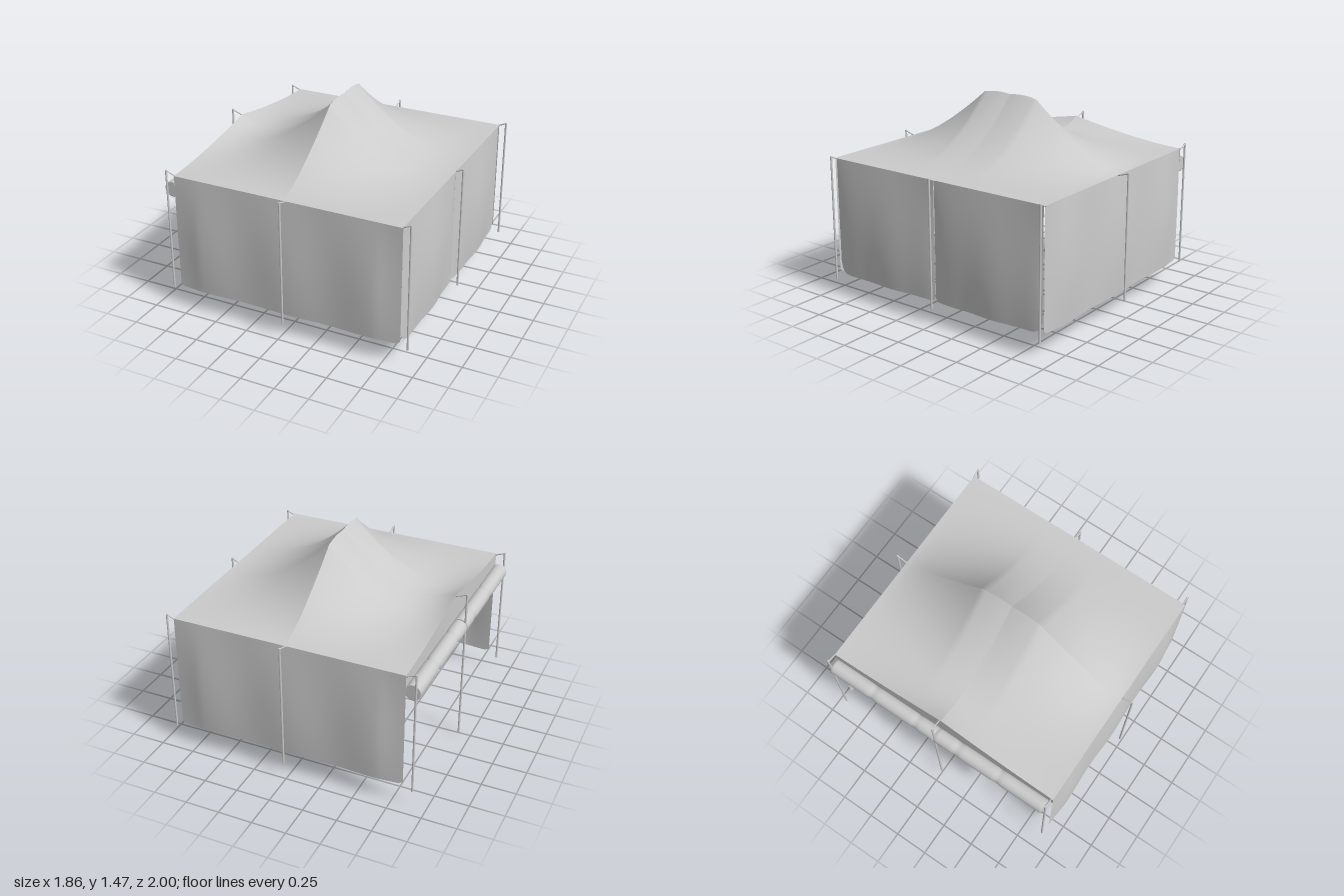
import * as THREE from 'three';

const X0 = -0.83, X1 = 0.87, ZE = 0.915, EAVE = 1.03, HEM = 0.165, RIDGE_X = 0.02;
const cloth = new THREE.MeshStandardMaterial({ color: 0xcccccc, side: THREE.DoubleSide });
const metal = new THREE.MeshStandardMaterial({ color: 0xcccccc });

// Smooth sheet: fn(u, v) gives a point; outward is du x dv
function sheet(name, fn, nu = 32, nv = 24) {
  const geo = new THREE.PlaneGeometry(1, 1, nu, nv);
  const pos = geo.attributes.position;
  for (let i = 0; i < pos.count; i++) {
    pos.setXYZ(i, ...fn(pos.getX(i) + 0.5, pos.getY(i) + 0.5));
  }
  geo.computeVertexNormals();
  const mesh = new THREE.Mesh(geo, cloth);
  mesh.name = name;
  return mesh;
}

// Straight round bar between two points
function bar(name, a, b, radius) {
  const from = new THREE.Vector3(...a), to = new THREE.Vector3(...b);
  const dir = to.clone().sub(from);
  const mesh = new THREE.Mesh(new THREE.CylinderGeometry(radius, radius, dir.length(), 10), metal);
  mesh.position.copy(from).add(to).multiplyScalar(0.5);
  mesh.quaternion.setFromUnitVectors(new THREE.Vector3(0, 1, 0), dir.normalize());
  mesh.name = name;
  return mesh;
}

// Roof height: sharp sagging slope across x, rounded hump along z, lifted over the doorway
function roofHeight(x, z) {
  const half = x > RIDGE_X ? X1 - RIDGE_X : RIDGE_X - X0;
  const d = Math.min(1, Math.abs(x - RIDGE_X) / half);
  const t = Math.min(1, Math.abs(z) / ZE);
  const across = Math.pow(1 - d, 2.1);
  const along = t > 0.25
    ? 0.965 * Math.pow(1 - (t - 0.25) / 0.75, 1.35)
    : 0.985 + 0.02 * Math.sin(t / 0.25 * Math.PI) - 0.02 * (t / 0.25) ** 2;
  const door = x < RIDGE_X ? 0.115 * Math.pow(d, 4.5) * Math.pow(1 - t, 1.6) : 0;
  return EAVE + 0.44 * across * along + door;
}

// Outward billow of a wall, pinned at the eave
const billow = v => Math.sin(Math.PI * (0.2 + 0.8 * v)) ;
// Rounded lower corner: lift of the hem at distance s from a side edge
const cornerLift = (s, r) => s < r ? r - Math.sqrt(r * r - (r - s) ** 2) : 0;

export function createModel() {
  const tent = new THREE.Group();
  tent.name = 'tent';

  // Roof in four panels, creased along the ridge lines
  const roof = new THREE.Group();
  roof.name = 'roof';
  for (const [xa, xb] of [[X0, RIDGE_X], [RIDGE_X, X1]]) {
    for (const [za, zb] of [[ZE, 0], [0, -ZE]]) {
      roof.add(sheet('roofPanel', (u, v) => {
        const x = xa + (xb - xa) * u, z = za + (zb - za) * v;
        return [x, roofHeight(x, z), z];
      }, 36, 36));
    }
  }
  tent.add(roof);

  // Front and back walls
  for (const side of [1, -1]) {
    tent.add(sheet(side > 0 ? 'frontWall' : 'backWall', (u, v) => {
      const k = side > 0 ? u : 1 - u;
      const x = X0 + (X1 - X0) * k;
      const ripple = 0.7 + 0.3 * Math.cos((x - RIDGE_X) * 10);
      const hem = HEM + cornerLift(Math.min(u, 1 - u) * (X1 - X0), 0.02);
      const out = 0.03 * billow(v) * ripple * Math.min(1, 8 * Math.min(u, 1 - u) + 0.15);
      return [x, hem + (EAVE - hem) * v, side * (ZE - 0.004 + out)];
    }, 60, 24));
  }

  // Left wall: two billowing curtains meeting at the middle post
  for (const [name, za, zb] of [['leftFrontCurtain', 0.9, 0], ['leftBackCurtain', -0.005, -0.9]]) {
    tent.add(sheet(name, (u, v) => {
      const z = za + (zb - za) * u;
      const outer = za > 0.5 ? u : 1 - u;
      const hem = HEM + cornerLift(outer * 0.9, 0.085) + cornerLift((1 - outer) * 0.9, 0.02);
      const out = 0.038 * billow(v) * Math.pow(Math.sin(Math.PI * u), 0.7)
        + 0.004 * Math.sin(u * 14) * (1 - v);
      return [X1 - 0.004 + out, hem + (EAVE - hem) * v, z];
    }, 50, 24));
  }

  // Valance above the open right side
  tent.add(sheet('doorValance', (u, v) => {
    const z = -ZE + 2 * ZE * u;
    return [X0, 0.93 + (roofHeight(X0, z) - 0.93) * v, z];
  }, 60, 4));

  // Rolled-up door curtains, pinched where they are tied
  for (const [za, zb, ties] of [[-0.9, -0.02, [-0.55, -0.18]], [-0.005, 0.88, [0.17, 0.51]]]) {
    const profile = [new THREE.Vector2(0, za), new THREE.Vector2(0.052, za)];
    for (let i = 0; i <= 60; i++) {
      const z = za + (zb - za) * i / 60;
      let r = 0.057;
      for (const tie of ties) r -= 0.006 * Math.exp(-(((z - tie) / 0.025) ** 2));
      profile.push(new THREE.Vector2(r, z));
    }
    profile.push(new THREE.Vector2(0.052, zb), new THREE.Vector2(0, zb));
    const roll = new THREE.Mesh(new THREE.LatheGeometry(profile, 28), cloth);
    roll.rotation.x = Math.PI / 2;
    roll.position.set(-0.872, 0.905, 0);
    roll.name = 'rolledCurtain';
    tent.add(roll);
  }

  // Outer posts, each with a sloping arm to the eave: [x, z, arm x, arm z, foot, top, arm y]
  const posts = [
    [0.92, 0.9, 0.86, 0.9], [0.92, -0.915, 0.86, -0.915],
    [-0.9, 0.9, X0, 0.9], [-0.9, -0.915, X0, -0.915],
    [0.92, -0.01, 0.865, -0.01],
    [0.035, 0.992, 0.035, 0.91], [0.02, -0.992, 0.02, -0.91],
    [-0.912, -0.01, X0, -0.01, 0.015, 1.17, 1.135],
  ];
  for (const [x, z, ax, az, foot = 0.13, top = 1.055, armY = 1.025] of posts) {
    const post = new THREE.Group();
    post.name = 'eavePost';
    post.add(bar('postRod', [x, foot, z], [x, top, z], 0.0075));
    post.add(bar('postArm', [x, top - 0.005, z], [ax, armY, az], 0.005));
    tent.add(post);
  }

  // Centre pole under the peak
  tent.add(bar('centrePole', [RIDGE_X, 0, 0], [RIDGE_X, 1.45, 0], 0.01));
  return tent;
}
